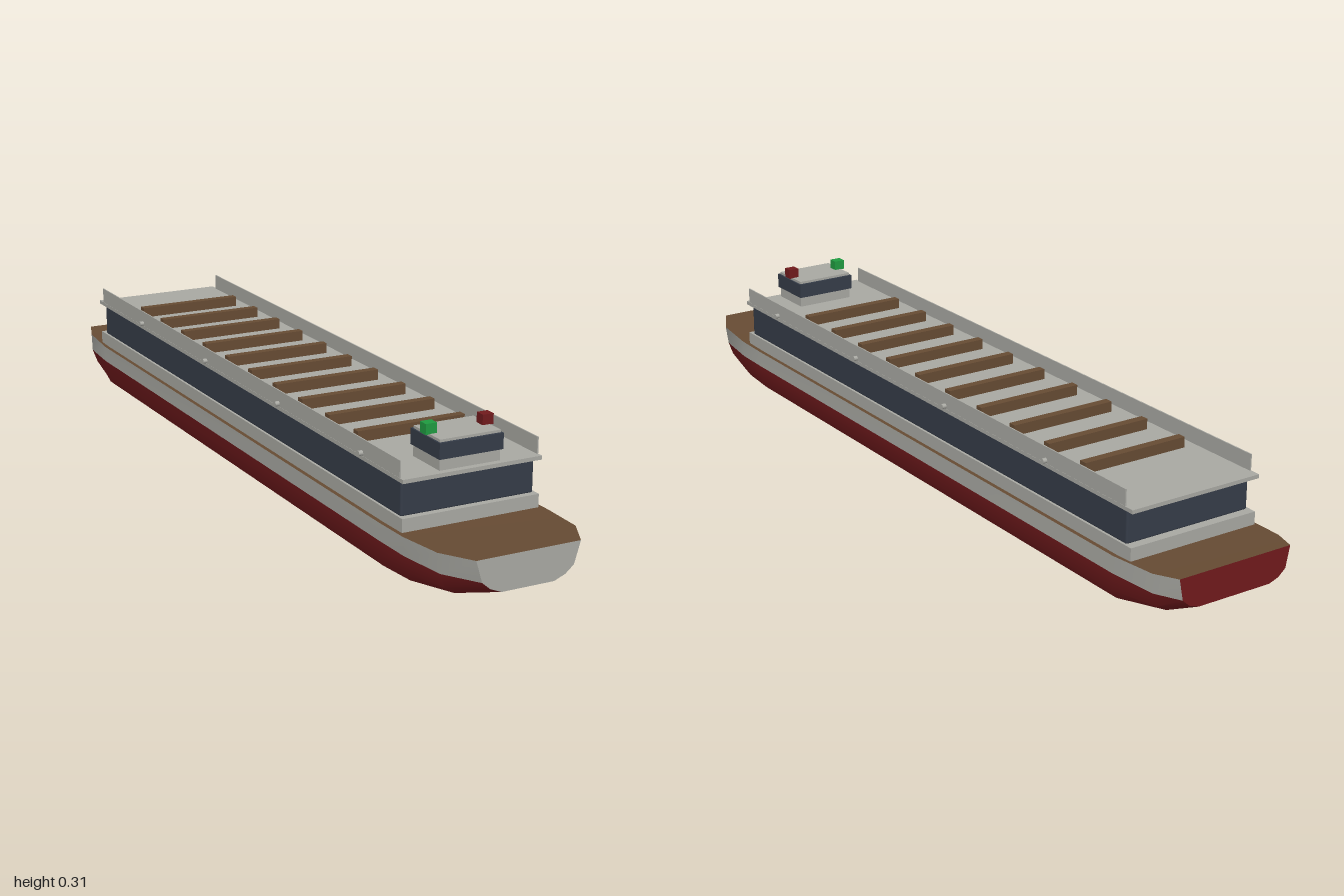
import * as THREE from 'three';
import { toCreasedNormals } from 'three/addons/utils/BufferGeometryUtils.js';
import { RoundedBoxGeometry } from 'three/addons/geometries/RoundedBoxGeometry.js';

const mat = (name, color) => {
  const m = new THREE.MeshStandardMaterial({ color });
  m.name = name;
  return m;
};

// Half sections of the hull: z, then [x, y] for deck edge, waterline, chine, bottom
const STATIONS = [
  [1, [[0.125, 0.11], [0.11, 0.06], [0.09, 0.043], [0.063, 0.032]]],
  [0.92, [[0.167, 0.107], [0.16, 0.06], [0.148, 0.027], [0.125, 0.012]]],
  [0.8, [[0.178, 0.102], [0.176, 0.06], [0.172, 0.021], [0.158, 0.002]]],
  [0.7, [[0.178, 0.1], [0.178, 0.06], [0.175, 0.02], [0.165, 0]]],
  [-0.82, [[0.178, 0.1], [0.178, 0.06], [0.175, 0.02], [0.165, 0]]],
  [-0.94, [[0.17, 0.105], [0.168, 0.06], [0.155, 0.026], [0.13, 0.012]]],
  [-1, [[0.148, 0.11], [0.138, 0.06], [0.12, 0.044], [0.095, 0.035]]],
];

const mirrored = (pts) => pts.map(([x, y]) => [-x, y]).reverse();

// Skin between the stations; pick chooses the run of points in each section
function loft(pick) {
  const rows = STATIONS.map(([z, half]) => pick(half).map(([x, y]) => [x, y, z]));
  const pos = [];
  for (let i = 0; i < rows.length - 1; i++) {
    for (let j = 0; j < rows[i].length - 1; j++) {
      const a = rows[i][j], b = rows[i][j + 1], c = rows[i + 1][j], d = rows[i + 1][j + 1];
      pos.push(...a, ...b, ...c, ...b, ...d, ...c);
    }
  }
  const g = new THREE.BufferGeometry();
  g.setAttribute('position', new THREE.Float32BufferAttribute(pos, 3));
  return toCreasedNormals(g, 0.6);
}

// Flat end face of the hull
function endFace([, half]) {
  const pts = [...half, ...mirrored(half)].map(([x, y]) => new THREE.Vector2(x, y));
  return new THREE.ShapeGeometry(new THREE.Shape(pts));
}

export function createModel() {
  const model = new THREE.Group();
  model.name = 'riverBoat';

  const grey = mat('pale grey paint', 0xa8a8a2);
  const red = mat('dark red paint', 0x701a1c);
  const brown = mat('brown wood', 0x664b33);
  const glass = mat('dark glass', 0x353c48);
  const green = mat('green lamp', 0x1f9a40);

  const add = (name, geometry, material, x = 0, y = 0, z = 0) => {
    const m = new THREE.Mesh(geometry, material);
    m.name = name;
    m.position.set(x, y, z);
    model.add(m);
    return m;
  };
  // Box given by its half width and its y and z ranges
  const block = (name, material, hw, y0, y1, z0, z1, round = 0) => {
    const size = [hw * 2, y1 - y0, z1 - z0];
    const g = round ? new RoundedBoxGeometry(...size, 2, round) : new THREE.BoxGeometry(...size);
    return add(name, g, material, 0, (y0 + y1) / 2, (z0 + z1) / 2);
  };

  // Hull
  add('hullBottom', loft((h) => [...h.slice(1), ...mirrored(h.slice(1))]), red);
  add('hullSideLeft', loft((h) => h.slice(0, 2)), grey);
  add('hullSideRight', loft((h) => mirrored(h.slice(0, 2))), grey);
  add('deck', loft((h) => mirrored([h[0]]).concat([h[0]])), brown);
  add('bowPlate', endFace(STATIONS[0]), grey, 0, 0, 1);
  add('transom', endFace(STATIONS[STATIONS.length - 1]), red, 0, 0, -1).rotation.y = Math.PI;

  // Passenger saloon
  block('saloonBase', grey, 0.168, 0.095, 0.132, -0.866, 0.78);
  block('saloonWindows', glass, 0.163, 0.13, 0.211, -0.845, 0.765, 0.005);
  block('saloonRoof', grey, 0.17, 0.21, 0.219, -0.87, 0.784);

  // Roof railings with round side lamps
  for (const s of [1, -1]) {
    add('railing', new THREE.BoxGeometry(0.003, 0.038, 1.615), grey, s * 0.168, 0.238, -0.0375);
    for (let i = 0; i < 4; i++) {
      const lamp = new THREE.CylinderGeometry(0.006, 0.006, 0.013, 12).rotateZ(Math.PI / 2);
      add('sideLamp', lamp, grey, s * 0.173, 0.2255, 0.61 - i * 0.393);
    }
  }

  // Benches on the roof
  for (let i = 0; i < 10; i++) {
    const z = -0.655 + i * 0.1304;
    block('bench', brown, 0.135, 0.219, 0.244, z - 0.01, z + 0.01);
  }

  // Wheelhouse
  block('wheelhouseBase', grey, 0.074, 0.218, 0.246, 0.661, 0.769);
  block('wheelhouseWindows', glass, 0.078, 0.245, 0.281, 0.655, 0.775);
  block('wheelhouseRoof', grey, 0.074, 0.28, 0.287, 0.661, 0.769);
  const lampBox = new THREE.BoxGeometry(0.027, 0.024, 0.024);
  add('portLight', lampBox, red, 0.069, 0.298, 0.715);
  add('starboardLight', lampBox, green, -0.07, 0.298, 0.715);

  return model;
}
